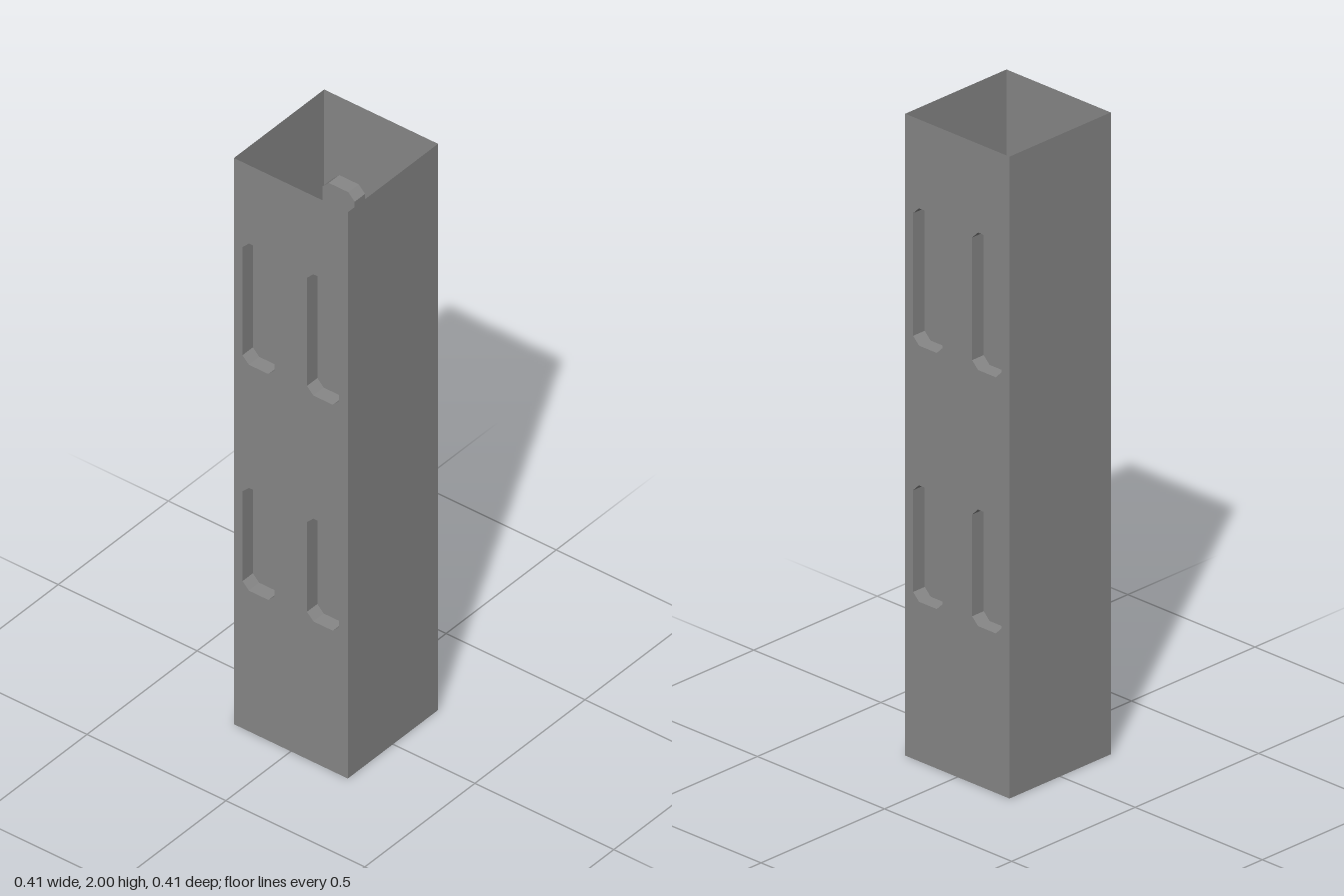
import * as THREE from 'three';

const HALF = 0.205, HEIGHT = 2, DEPTH = 0.047;
const material = new THREE.MeshStandardMaterial({
  color: 0x888888, flatShading: true, side: THREE.DoubleSide,
});

// Corners of an upright slot with chamfered corners
function slotPoints(cx, y0, y1) {
  const w = 0.058, c = 0.023;
  return [
    [cx - w + c, y0], [cx + w - c, y0], [cx + w, y0 + c], [cx + w, y1 - c],
    [cx + w - c, y1], [cx - w + c, y1], [cx - w, y1 - c], [cx - w, y0 + c],
  ].map(([x, y]) => new THREE.Vector2(x, y));
}

// Thin rim running from the wall inwards to the slot floor, facing into the slot
function rimGeometry(points) {
  const z0 = HALF, z1 = HALF - DEPTH;
  const pos = points.flatMap((a, i) => {
    const b = points[(i + 1) % points.length];
    return [
      a.x, a.y, z0, b.x, b.y, z1, a.x, a.y, z1,
      a.x, a.y, z0, b.x, b.y, z0, b.x, b.y, z1,
    ];
  });
  const g = new THREE.BufferGeometry();
  g.setAttribute('position', new THREE.Float32BufferAttribute(pos, 3));
  g.computeVertexNormals();
  return g;
}

function addMesh(parent, name, geometry) {
  const mesh = new THREE.Mesh(geometry, material);
  mesh.name = name;
  parent.add(mesh);
  return mesh;
}

// Wall with four recessed slots, facing +z
function slottedWall(name) {
  const wall = new THREE.Group();
  wall.name = name;
  const panel = new THREE.Shape([
    new THREE.Vector2(-HALF, 0), new THREE.Vector2(HALF, 0),
    new THREE.Vector2(HALF, HEIGHT), new THREE.Vector2(-HALF, HEIGHT),
  ]);
  for (const [y0, y1] of [[0.497, 0.86], [1.295, 1.723]]) {
    for (const cx of [-0.116, 0.116]) {
      const points = slotPoints(cx, y0, y1);
      panel.holes.push(new THREE.Path(points));
      addMesh(wall, 'slotRim', rimGeometry(points));
      const floor = new THREE.ShapeGeometry(new THREE.Shape(points));
      addMesh(wall, 'slotFloor', floor).position.z = HALF - DEPTH;
    }
  }
  addMesh(wall, 'slottedPanel', new THREE.ShapeGeometry(panel)).position.z = HALF;
  return wall;
}

export function createModel() {
  const model = new THREE.Group();
  model.name = 'slottedTube';

  // Front and back walls
  const back = slottedWall('backWall');
  back.rotation.y = Math.PI;
  model.add(slottedWall('frontWall'), back);

  // Plain side walls; top and bottom stay open
  for (const [name, s] of [['leftWall', 1], ['rightWall', -1]]) {
    const side = addMesh(model, name, new THREE.PlaneGeometry(2 * HALF, HEIGHT));
    side.rotation.y = s * Math.PI / 2;
    side.position.set(s * HALF, HEIGHT / 2, 0);
  }
  return model;
}
